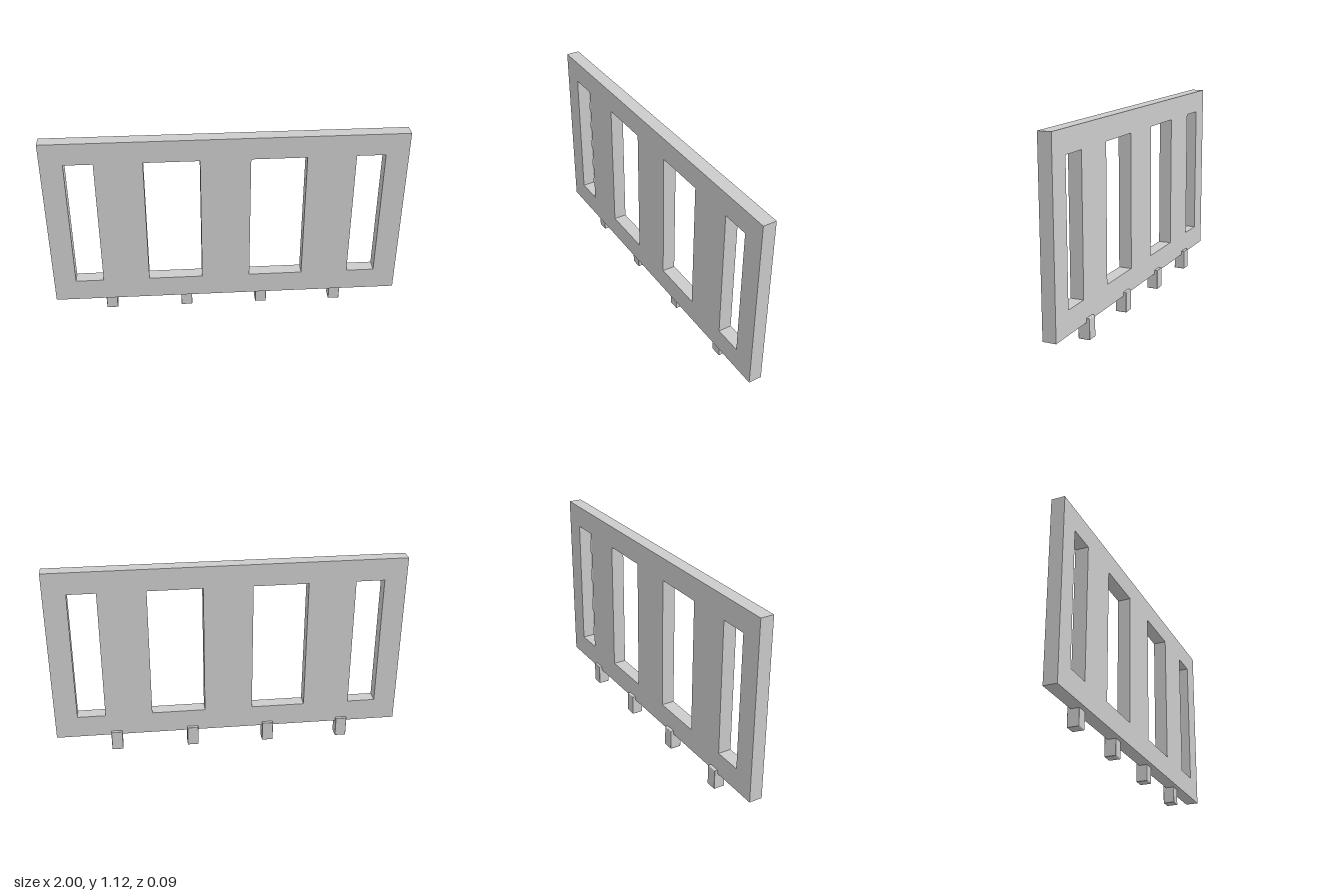
import * as THREE from 'three';
import { RoundedBoxGeometry } from 'three/addons/geometries/RoundedBoxGeometry.js';

const material = new THREE.MeshStandardMaterial({ color: 0xcccccc });

// Traces a rectangle onto a Shape or Path
function rectangle(path, x0, y0, x1, y1) {
  path.moveTo(x0, y0);
  path.lineTo(x1, y0);
  path.lineTo(x1, y1);
  path.lineTo(x0, y1);
  path.closePath();
  return path;
}

export function createModel() {
  const group = new THREE.Group();
  group.name = 'slottedPanel';

  // Flat panel with two narrow outer and two wide inner openings
  const back = -0.028, front = 0.047;
  const outline = rectangle(new THREE.Shape(), -1, 0.095, 1, 1.122);
  const openings = [[-0.875, -0.715], [-0.449, -0.141], [0.135, 0.442], [0.712, 0.872]];
  for (const [x0, x1] of openings) {
    outline.holes.push(rectangle(new THREE.Path(), x0, 0.225, x1, 0.995));
  }
  const panel = new THREE.Mesh(
    new THREE.ExtrudeGeometry(outline, { depth: front - back, bevelEnabled: false }),
    material
  );
  panel.name = 'panel';
  panel.position.z = back;
  group.add(panel);

  // Evenly spaced feet, overlapping the back of the bottom rail
  const footHeight = 0.118;
  const footGeometry = new RoundedBoxGeometry(0.065, footHeight, 0.066, 2, 0.004);
  for (let i = 0; i < 4; i++) {
    const foot = new THREE.Mesh(footGeometry, material);
    foot.name = `foot${i + 1}`;
    foot.position.set(-0.679 + i * 0.444, footHeight / 2, -0.013);
    group.add(foot);
  }

  return group;
}
